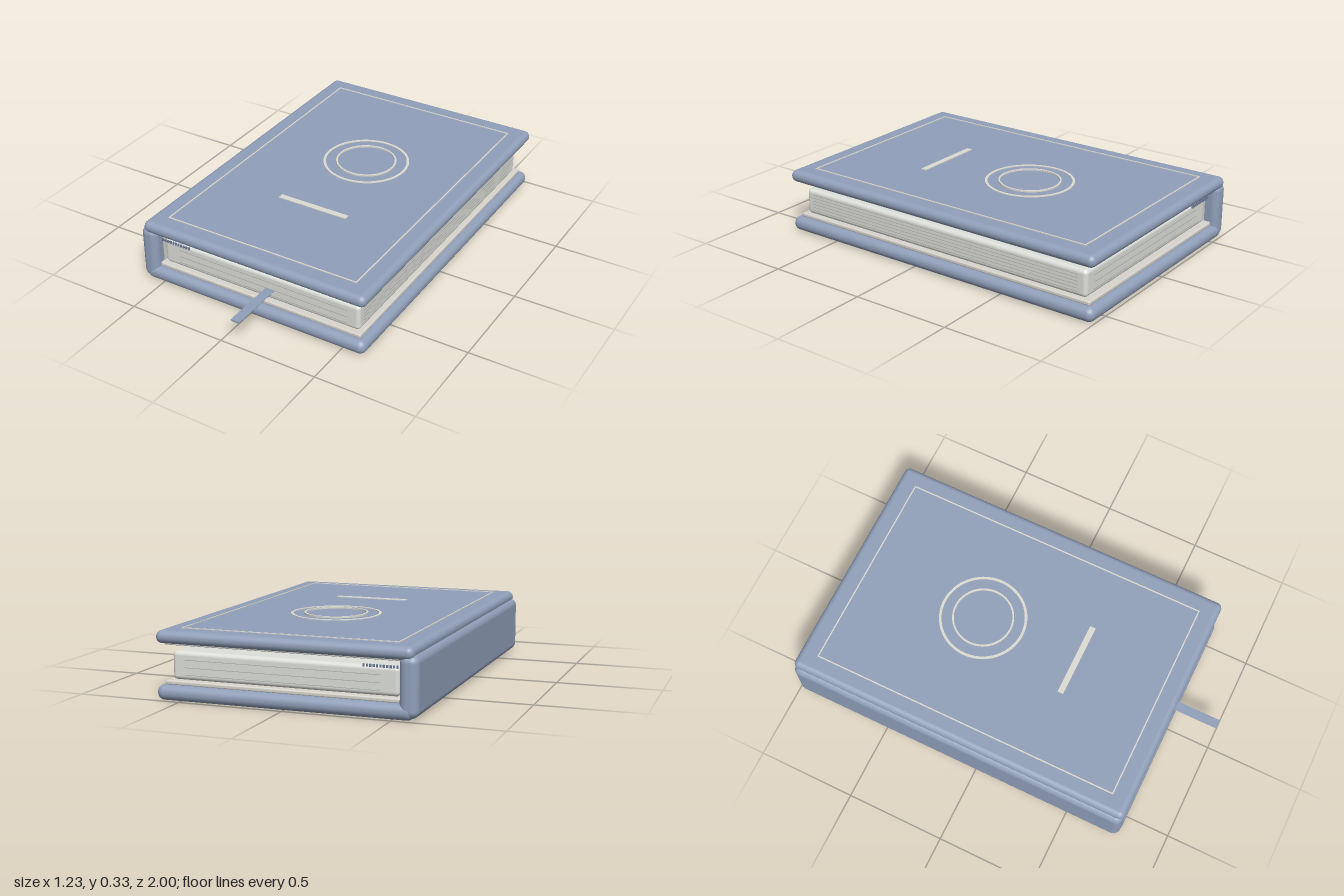
import * as THREE from 'three';
import { RoundedBoxGeometry } from 'three/addons/geometries/RoundedBoxGeometry.js';

const mat = (name, color) => {
  const m = new THREE.MeshStandardMaterial({ color });
  m.name = name;
  return m;
};

export function createModel() {
  const book = new THREE.Group();
  book.name = 'book';
  const cloth = mat('blue cloth', 0x909fb9);
  const paper = mat('page paper', 0xdddfda);
  const lining = mat('endpaper', 0xd8d4cd);
  const inlay = mat('pale inlay', 0xdcdcd3);
  const pageLine = mat('page line', 0xacaca7);
  const thread = mat('headband thread', 0x6b7898);

  const add = (name, geometry, material, x = 0, y = 0, z = 0, parent = book) => {
    const mesh = new THREE.Mesh(geometry, material);
    mesh.name = name;
    mesh.position.set(x, y, z);
    parent.add(mesh);
    return mesh;
  };
  // box given by its limits, rounded when r > 0
  const slab = (name, material, [x0, x1], [y0, y1], [z0, z1], r = 0, parent = book) => {
    const size = [x1 - x0, y1 - y0, z1 - z0];
    const g = r ? new RoundedBoxGeometry(...size, 5, r) : new THREE.BoxGeometry(...size);
    return add(name, g, material, (x0 + x1) / 2, (y0 + y1) / 2, (z0 + z1) / 2, parent);
  };
  const group = (name) => {
    const g = new THREE.Group();
    g.name = name;
    book.add(g);
    return g;
  };

  // case
  slab('frontCover', cloth, [-0.597, 0.617], [0.26, 0.32], [-1, 0.779], 0.029);
  slab('backCover', cloth, [-0.597, 0.617], [0, 0.071], [-1, 0.779], 0.034);
  slab('spine', cloth, [-0.617, -0.53], [0.008, 0.283], [-0.998, 0.777], 0.036);

  // linings and pages
  slab('frontEndpaper', lining, [-0.53, 0.584], [0.252, 0.262], [-0.965, 0.742], 0.004);
  slab('backEndpaper', lining, [-0.55, 0.581], [0.069, 0.09], [-0.965, 0.742], 0.007);
  slab('spineLining', lining, [-0.535, -0.527], [0.08, 0.256], [-0.93, 0.715]);
  slab('pageBlock', paper, [-0.517, 0.562], [0.088, 0.22], [-0.935, 0.72], 0.02);

  // page lines on both ends and the fore edge
  const lines = group('pageLines');
  for (const y of [0.112, 0.146, 0.181]) {
    const ys = [y - 0.0012, y + 0.0012];
    slab('frontPageLine', pageLine, [-0.43, 0.5], ys, [0.717, 0.721], 0, lines);
    slab('backPageLine', pageLine, [-0.43, 0.5], ys, [-0.936, -0.932], 0, lines);
  }
  for (let i = 0; i < 6; i++) {
    const y = 0.112 + i * 0.0165;
    slab('foreEdgeLine', pageLine, [0.559, 0.563], [y - 0.001, y + 0.001], [-0.89, 0.68], 0, lines);
  }

  // headband stitches at both ends
  const stitches = group('headbands');
  for (const z of [0.734, -0.949]) {
    for (let i = 0; i < 11; i++) {
      const bead = new THREE.CylinderGeometry(0.005, 0.005, 0.012, 8);
      add('stitch', bead, thread, -0.513 + i * 0.0152, 0.222, z, stitches);
    }
  }

  // border on the front cover
  const border = group('coverBorder');
  const [l, r, b, f, w] = [-0.509, 0.527, -0.905, 0.687, 0.006];
  const rise = [0.318, 0.324];
  for (const x of [l, r - w]) slab('borderSide', inlay, [x, x + w], rise, [b, f], 0, border);
  for (const z of [b, f - w]) slab('borderEnd', inlay, [l + w, r - w], rise, [z, z + w], 0, border);

  // flat rings and title bar
  const ring = (name, radius, width, top) => {
    const s = new THREE.Shape().absarc(0, 0, radius, 0, Math.PI * 2);
    s.holes.push(new THREE.Path().absarc(0, 0, radius - width, 0, Math.PI * 2, true));
    const g = new THREE.ExtrudeGeometry(s, { depth: top - 0.319, bevelEnabled: false, curveSegments: 48 });
    add(name, g.rotateX(-Math.PI / 2), inlay, 0.028, 0.319, -0.265);
  };
  ring('outerRing', 0.219, 0.013, 0.324);
  ring('innerRing', 0.154, 0.009, 0.328);
  slab('titleBar', inlay, [-0.16, 0.217], [0.318, 0.324], [0.232, 0.262]);

  // bookmark with a slightly hollow section
  const s = new THREE.Shape();
  s.moveTo(-0.024, 0.004).quadraticCurveTo(-0.022, -0.005, -0.012, -0.005);
  s.lineTo(0.012, -0.005).quadraticCurveTo(0.022, -0.005, 0.024, 0.004);
  s.lineTo(-0.024, 0.004);
  const ribbon = new THREE.ExtrudeGeometry(s, { depth: 0.32, bevelEnabled: false, curveSegments: 4 });
  add('ribbonBookmark', ribbon, cloth, 0.086, 0.14, 0.68);

  return book;
}
